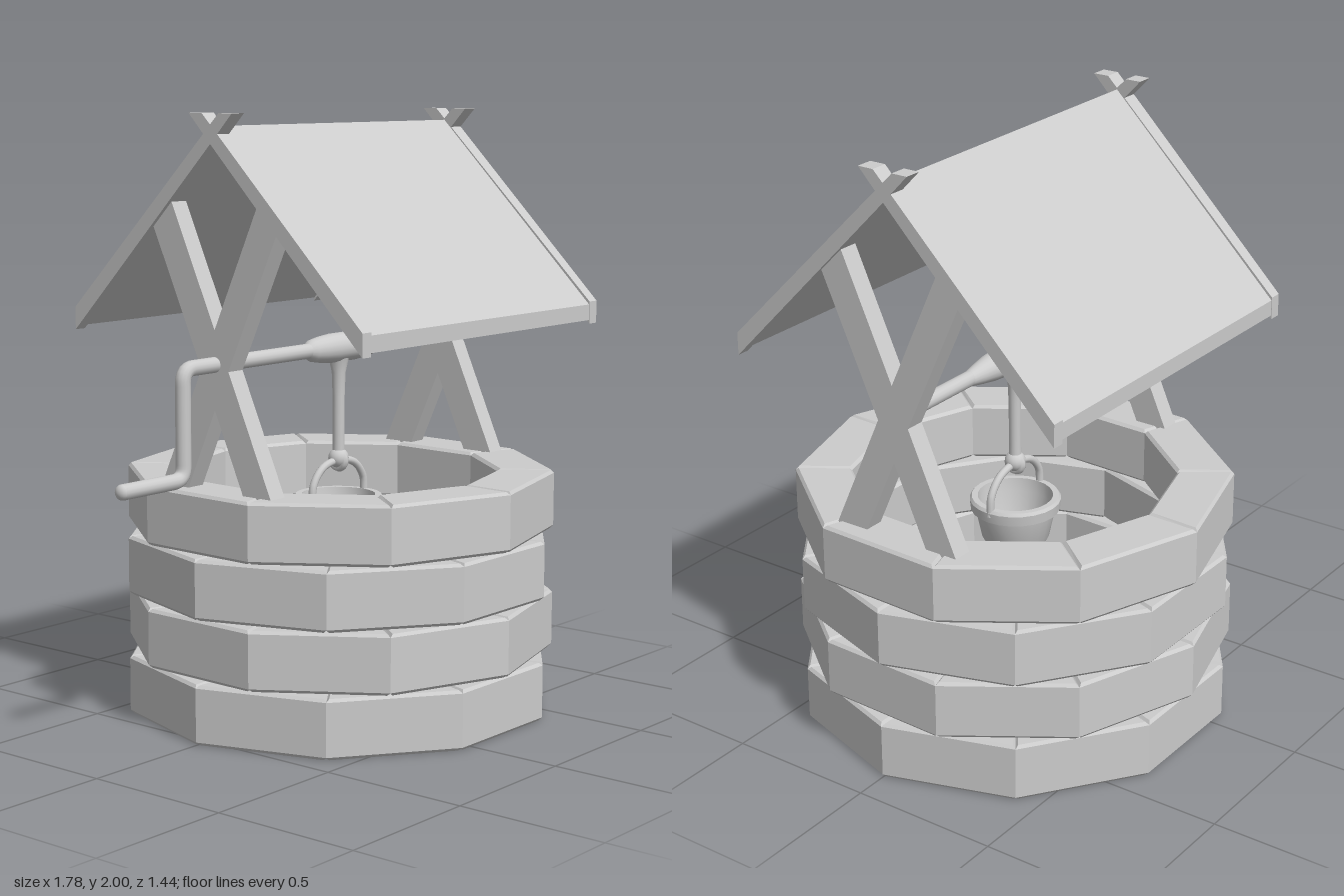
import * as THREE from 'three';
import { toCreasedNormals } from 'three/addons/utils/BufferGeometryUtils.js';

const CX = 0.167; // axis of the well shaft

export function createModel() {
  const group = new THREE.Group();
  group.name = 'well';
  const stone = new THREE.MeshStandardMaterial({ color: 0xcccccc });
  stone.name = 'light grey';

  const add = (name, geometry, parent = group) => {
    const mesh = new THREE.Mesh(geometry, stone);
    mesh.name = name;
    parent.add(mesh);
    return mesh;
  };
  const shapeOf = pts => new THREE.Shape(pts.map(p => new THREE.Vector2(...p)));

  // Side outline [z, y] extruded along x between x0 and x1
  const slab = (pts, x0, x1) =>
    new THREE.ExtrudeGeometry(shapeOf(pts.map(([z, y]) => [-z, y])), { depth: x1 - x0, bevelEnabled: false })
      .rotateY(Math.PI / 2).translate(x0, 0, 0);

  // Four staggered courses of ten bevelled blocks
  const SIDES = 10, OUTER = 0.722, INNER = 0.535, HEIGHT = 0.197, PITCH = 0.204, BEVEL = 0.01;
  const step = (Math.PI * 2) / SIDES;
  const corner = (r, a) => [r * Math.cos(a), r * Math.sin(a)];
  const block = new THREE.ExtrudeGeometry(
    shapeOf([corner(INNER, 0), corner(OUTER, 0), corner(OUTER, step), corner(INNER, step)]),
    { depth: HEIGHT - 2 * BEVEL, bevelSize: BEVEL, bevelThickness: BEVEL, bevelOffset: -BEVEL, bevelSegments: 1 }
  ).rotateX(-Math.PI / 2).translate(0, BEVEL, 0);
  for (let row = 0; row < 4; row++) {
    const course = new THREE.Group();
    course.name = 'stoneCourse' + (row + 1);
    course.position.set(CX, row * PITCH, 0);
    course.rotation.y = row % 2 ? -step / 2 - 0.035 : 0;
    for (let i = 0; i < SIDES; i++) add('stoneBlock', block, course).rotation.y = i * step;
    group.add(course);
  }

  // Crossed posts at both ends
  const half = [[0.235, 0.8], [0.0575, 1.197], [0.26, 1.64], [0.18, 1.72]];
  const cross = [
    [0, 1.07], [0.12, 0.8], ...half, [0, 1.324],
    ...half.map(([z, y]) => [-z, y]).reverse(), [-0.12, 0.8],
  ];
  add('leftCrossedPosts', slab(cross, 0.72, 0.787));
  add('rightCrossedPosts', slab(cross, -0.455, -0.388));

  // Rafters crossing at the ridge, tapering towards the eaves, and roof panels
  const rafter = [[0.605, 1.285], [0.605, 1.36], [-0.035, 2], [-0.09, 2], [0, 1.905]];
  const panel = [[0.603, 1.297], [0.603, 1.35], [0, 1.96], [0, 1.91]];
  for (const [face, s] of [['front', 1], ['back', -1]]) {
    const flip = pts => pts.map(([z, y]) => [z * s, y]);
    for (const [end, e] of [['Left', 1], ['Right', -1]]) {
      const x0 = e > 0 ? 0.745 : -0.47;
      const geo = slab(flip(rafter), x0, x0 + 0.057);
      const pos = geo.attributes.position;
      for (let i = 0; i < pos.count; i++) {
        const inner = (pos.getX(i) - x0 - 0.028) * e < 0;
        if (inner) pos.setX(i, pos.getX(i) + e * 0.022 * (2 - pos.getY(i)));
      }
      geo.computeVertexNormals();
      add(face + end + 'Rafter', geo);
    }
    add(face + 'RoofPanel', slab(flip(panel), -0.435, 0.767));
  }

  // Crank and axle: one bent rod with rounded elbows
  const v = (x, y) => new THREE.Vector3(x, y, 0);
  const rod = [v(-0.875, 0.867), v(-0.602, 0.867), v(-0.602, 1.215), v(0.69, 1.215)];
  const path = new THREE.CurvePath();
  let from = rod[0];
  for (let i = 1; i < rod.length - 1; i++) {
    const a = rod[i].clone().add(rod[i - 1].clone().sub(rod[i]).setLength(0.045));
    const b = rod[i].clone().add(rod[i + 1].clone().sub(rod[i]).setLength(0.045));
    path.add(new THREE.LineCurve3(from, a));
    path.add(new THREE.QuadraticBezierCurve3(a, rod[i], b));
    from = b;
  }
  path.add(new THREE.LineCurve3(from, rod[3]));
  add('crankAndAxle', new THREE.TubeGeometry(path, 160, 0.025, 14));
  for (const p of [rod[0], rod[3]]) {
    add('rodEnd', new THREE.SphereGeometry(0.025, 14, 10).scale(0.75, 1, 1).translate(p.x, p.y, 0));
  }

  const lathe = (pts, seg) => new THREE.LatheGeometry(pts.map(p => new THREE.Vector2(...p)), seg);

  // Wound rope bulging around the axle
  const coil = [[0.024, 0], [0.037, 0.02], [0.044, 0.06], [0.049, 0.12], [0.049, 0.24],
    [0.044, 0.3], [0.034, 0.36], [0.024, 0.41]];
  add('ropeCoil', lathe(coil, 18).rotateZ(-Math.PI / 2).translate(0, 1.214, 0));

  // Hanging rope with its knot
  const rope = [[0.022, 0.83], [0.02, 0.9], [0.021, 1.05], [0.024, 1.13], [0.034, 1.175], [0.04, 1.2]];
  add('rope', lathe(rope, 14).translate(0.163, 0, 0));
  add('knot', new THREE.SphereGeometry(0.035, 16, 12).translate(0.163, 0.838, 0));
  add('knotLoop', new THREE.TorusGeometry(0.024, 0.016, 8, 16).rotateY(Math.PI / 2).translate(0.163, 0.83, 0));

  // Bucket with thick rim and arched handle
  const bucket = [[0, 0.54], [0.095, 0.54], [0.112, 0.57], [0.132, 0.665], [0.148, 0.67],
    [0.152, 0.705], [0.145, 0.715], [0.125, 0.715], [0.12, 0.67], [0.095, 0.57], [0, 0.565]];
  add('bucket', toCreasedNormals(lathe(bucket, 24), 0.6).translate(0.163, 0, 0));
  const arch = [[-0.14, 0.69], [-0.132, 0.76], [-0.085, 0.812], [0, 0.83],
    [0.085, 0.812], [0.132, 0.76], [0.14, 0.69]].map(([x, y]) => v(x + 0.163, y));
  add('bucketHandle', new THREE.TubeGeometry(new THREE.CatmullRomCurve3(arch), 32, 0.013, 10));

  return group;
}
